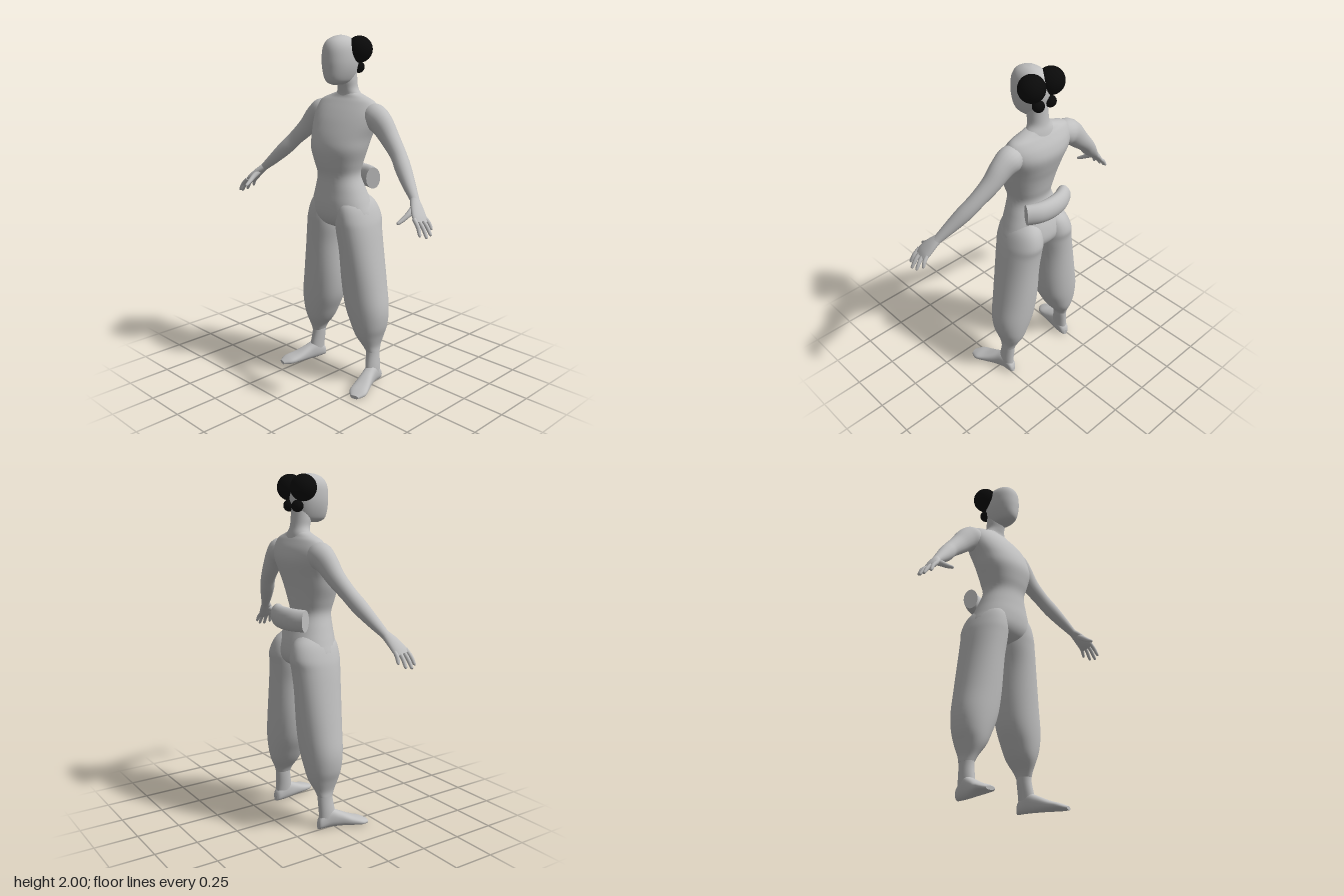
import * as THREE from 'three';

const grey = new THREE.MeshStandardMaterial({ color: 0xc0c0c0 });
grey.name = 'plain grey';
const black = new THREE.MeshStandardMaterial({ color: 0x0a0a0a });
black.name = 'hair black';

// Catmull-Rom smoothing of rows of numbers, k steps between rows
function smooth(rows, k = 5) {
  const out = [];
  const at = i => rows[Math.min(Math.max(i, 0), rows.length - 1)];
  for (let i = 0; i < rows.length - 1; i++) {
    for (let j = 0; j < k; j++) {
      const t = j / k;
      out.push(rows[i].map((b, n) => {
        const a = at(i - 1)[n], c = at(i + 1)[n], d = at(i + 2)[n];
        return b + 0.5 * t * (c - a + t * (2 * a - 5 * b + 4 * c - d + t * (3 * (b - c) + d - a)));
      }));
    }
  }
  out.push(rows[rows.length - 1]);
  return out;
}

// Closed skin over rings of points, with flat caps; faces always turn outward
function skin(name, rings) {
  const n = rings[0].length, pos = [], idx = [];
  const add = p => pos.push(p.x, p.y, p.z) / 3 - 1;
  rings.forEach(r => r.forEach(add));
  for (let i = 0; i < rings.length - 1; i++) {
    for (let j = 0; j < n; j++) {
      const a = i * n + j, b = i * n + (j + 1) % n;
      idx.push(a, b, a + n, b, b + n, a + n);
    }
  }
  [rings[0], rings[rings.length - 1]].forEach((r, end) => {
    const mid = r.reduce((s, p) => s.add(p), new THREE.Vector3()).divideScalar(n);
    const first = pos.length / 3;
    r.forEach(add);
    const c = add(mid);
    for (let j = 0; j < n; j++) {
      const a = first + j, b = first + (j + 1) % n;
      if (end) idx.push(c, a, b); else idx.push(c, b, a);
    }
  });
  const P = i => new THREE.Vector3().fromArray(pos, i * 3);
  let volume = 0;
  for (let i = 0; i < idx.length; i += 3) volume += P(idx[i]).dot(P(idx[i + 1]).cross(P(idx[i + 2])));
  if (volume < 0) idx.reverse();
  const g = new THREE.BufferGeometry();
  g.setAttribute('position', new THREE.Float32BufferAttribute(pos, 3));
  g.setIndex(idx);
  g.computeVertexNormals();
  const mesh = new THREE.Mesh(g, grey);
  mesh.name = name;
  return mesh;
}

// Rounded ring around a centre, along two half-axes
function ring(c, u, v, power = 2, n = 32) {
  const f = x => Math.sign(x) * Math.pow(Math.abs(x), 2 / power);
  return Array.from({ length: n }, (_, i) => {
    const a = i / n * Math.PI * 2;
    return c.clone().addScaledVector(u, f(Math.cos(a))).addScaledVector(v, f(Math.sin(a)));
  });
}

// Upright form; rows: y, x centre, half width, front z, back z
function upright(name, rows, s = 1, power = 2) {
  return skin(name, smooth(rows).map(([y, x, w, f, b]) => ring(
    new THREE.Vector3(s * x, y, (f + b) / 2),
    new THREE.Vector3(w, 0, 0), new THREE.Vector3(0, 0, (f - b) / 2), power)));
}

// Form along a path; rows: x, y, z, radius along ref, radius across it
function limb(name, rows, s = 1, ref = new THREE.Vector3(0, 0, 1), n = 20) {
  const r = smooth(rows), p = r.map(q => new THREE.Vector3(s * q[0], q[1], q[2]));
  return skin(name, r.map((q, i) => {
    const d = p[Math.min(i + 1, p.length - 1)].clone().sub(p[Math.max(i - 1, 0)]).normalize();
    const u = ref.clone().addScaledVector(d, -ref.dot(d)).normalize();
    const v = d.clone().cross(u);
    return ring(p[i], u.multiplyScalar(q[3]), v.multiplyScalar(q[4]), 2, n);
  }));
}

function ball(name, x, y, z, r) {
  const m = new THREE.Mesh(new THREE.SphereGeometry(r, 32, 20), black);
  m.position.set(x, y, z);
  m.name = name;
  return m;
}

export function createModel() {
  const model = new THREE.Group();
  model.name = 'figure';

  model.add(upright('head', [
    [2.0, 0, 0.006, 0.0, -0.015], [1.992, 0, 0.035, 0.04, -0.055], [1.97, 0, 0.062, 0.08, -0.092],
    [1.93, 0, 0.08, 0.102, -0.115], [1.87, 0, 0.084, 0.108, -0.12], [1.82, 0, 0.078, 0.106, -0.112],
    [1.775, 0, 0.064, 0.1, -0.1], [1.748, 0, 0.048, 0.085, -0.08], [1.734, 0, 0.022, 0.055, -0.04]], 1, 2.2));
  model.add(upright('neck', [
    [1.83, 0, 0.055, -0.005, -0.112], [1.76, 0, 0.058, 0.0, -0.115], [1.71, 0, 0.062, -0.012, -0.12],
    [1.67, 0, 0.09, -0.018, -0.13], [1.62, 0, 0.12, 0.0, -0.14]]));

  // Chest, waist and pelvis
  model.add(upright('torso', [
    [1.69, 0, 0.065, -0.025, -0.115], [1.665, 0, 0.14, -0.015, -0.125], [1.64, 0, 0.195, 0.005, -0.14],
    [1.59, 0, 0.22, 0.045, -0.165], [1.53, 0, 0.215, 0.085, -0.175], [1.45, 0, 0.19, 0.125, -0.155],
    [1.38, 0, 0.175, 0.142, -0.133], [1.3, 0, 0.148, 0.13, -0.115], [1.23, 0, 0.132, 0.112, -0.103],
    [1.15, 0, 0.157, 0.115, -0.13], [1.07, 0, 0.187, 0.122, -0.16], [1.0, 0, 0.208, 0.115, -0.17],
    [0.95, 0, 0.17, 0.085, -0.15], [0.92, 0, 0.07, 0.03, -0.1]], 1, 2.15));

  // Rolled bustle behind the waist
  model.add(limb('waistRoll', [
    [0.145, 1.205, -0.125, 0.062, 0.042], [0.08, 1.205, -0.157, 0.064, 0.045], [0, 1.205, -0.168, 0.065, 0.046],
    [-0.08, 1.205, -0.157, 0.064, 0.045], [-0.145, 1.205, -0.125, 0.062, 0.042]], 1, new THREE.Vector3(0, 1, 0), 28));

  for (const s of [1, -1]) {
    const side = s > 0 ? 'left' : 'right';

    // Baggy trouser leg, gathered above the ankle
    model.add(upright(side + 'TrouserLeg', [
      [1.13, 0.08, 0.05, 0.06, -0.1], [1.07, 0.098, 0.085, 0.1, -0.165], [0.99, 0.112, 0.105, 0.112, -0.192],
      [0.92, 0.12, 0.114, 0.108, -0.183], [0.8, 0.138, 0.117, 0.098, -0.176], [0.6, 0.16, 0.13, 0.085, -0.17],
      [0.46, 0.182, 0.13, 0.075, -0.162], [0.36, 0.2, 0.105, 0.062, -0.15], [0.29, 0.208, 0.075, 0.045, -0.135],
      [0.23, 0.222, 0.044, 0.015, -0.107], [0.195, 0.23, 0.035, 0.0, -0.095]], s, 2.15));
    model.add(upright(side + 'Ankle', [
      [0.25, 0.228, 0.036, 0.005, -0.095], [0.18, 0.23, 0.035, 0.0, -0.093],
      [0.1, 0.237, 0.035, 0.012, -0.09], [0.04, 0.24, 0.033, 0.02, -0.09]], s));

    // Foot: x, z, half width, height, running from heel to toe
    const foot = [[0.234, -0.1, 0.012, 0.035], [0.235, -0.085, 0.028, 0.07], [0.24, -0.03, 0.036, 0.115],
      [0.256, 0.03, 0.04, 0.09], [0.28, 0.1, 0.05, 0.057], [0.3, 0.155, 0.052, 0.038], [0.312, 0.195, 0.025, 0.02]];
    model.add(skin(side + 'Foot', smooth(foot).map(([x, z, w, h]) => ring(
      new THREE.Vector3(s * x, h / 2, z),
      new THREE.Vector3(s * w * 0.97, 0, -w * 0.25), new THREE.Vector3(0, h / 2, 0), 2.4))));

    model.add(limb(side + 'Arm', [
      [0.14, 1.575, -0.07, 0.05, 0.05], [0.2, 1.565, -0.068, 0.07, 0.075], [0.26, 1.53, -0.064, 0.06, 0.068],
      [0.33, 1.46, -0.055, 0.05, 0.055], [0.41, 1.385, -0.032, 0.044, 0.045], [0.47, 1.322, -0.004, 0.044, 0.044],
      [0.54, 1.252, 0.03, 0.036, 0.034], [0.605, 1.19, 0.06, 0.026, 0.022], [0.63, 1.165, 0.072, 0.028, 0.02]], s));

    // Hand with four fingers and a thumb
    const hand = new THREE.Group();
    hand.name = side + 'Hand';
    hand.add(limb('palm', [
      [0.6, 1.195, 0.058, 0.024, 0.021], [0.635, 1.16, 0.08, 0.038, 0.021],
      [0.67, 1.12, 0.1, 0.047, 0.019], [0.692, 1.095, 0.108, 0.044, 0.013]], s));
    [[0.068, 0.06, 0.722, 1.055], [0.094, 0.092, 0.743, 1.034],
      [0.12, 0.128, 0.747, 1.028], [0.144, 0.16, 0.73, 1.04]].forEach(([z0, z1, x, y]) => {
      hand.add(limb('finger', [[0.672, 1.117, z0, 0.011, 0.011], [(0.68 + x) / 2, (1.11 + y) / 2 + 0.008, (z0 + z1) / 2, 0.011, 0.011],
        [x - 0.006, y + 0.007, z1, 0.009, 0.008], [x, y, z1, 0.003, 0.003]], s, undefined, 10));
    });
    hand.add(limb('thumb', [[0.625, 1.165, 0.085, 0.016, 0.018], [0.628, 1.135, 0.13, 0.015, 0.016],
      [0.62, 1.108, 0.17, 0.012, 0.012], [0.613, 1.093, 0.198, 0.008, 0.008], [0.612, 1.09, 0.204, 0.003, 0.003]],
    s, new THREE.Vector3(1, 0, 0), 12));
    model.add(hand);

    // Hair buns
    model.add(ball(side + 'HairBun', s * 0.068, 1.923, -0.086, 0.073));
    model.add(ball(side + 'SmallHairBun', s * 0.042, 1.825, -0.108, 0.033));
  }
  return model;
}
